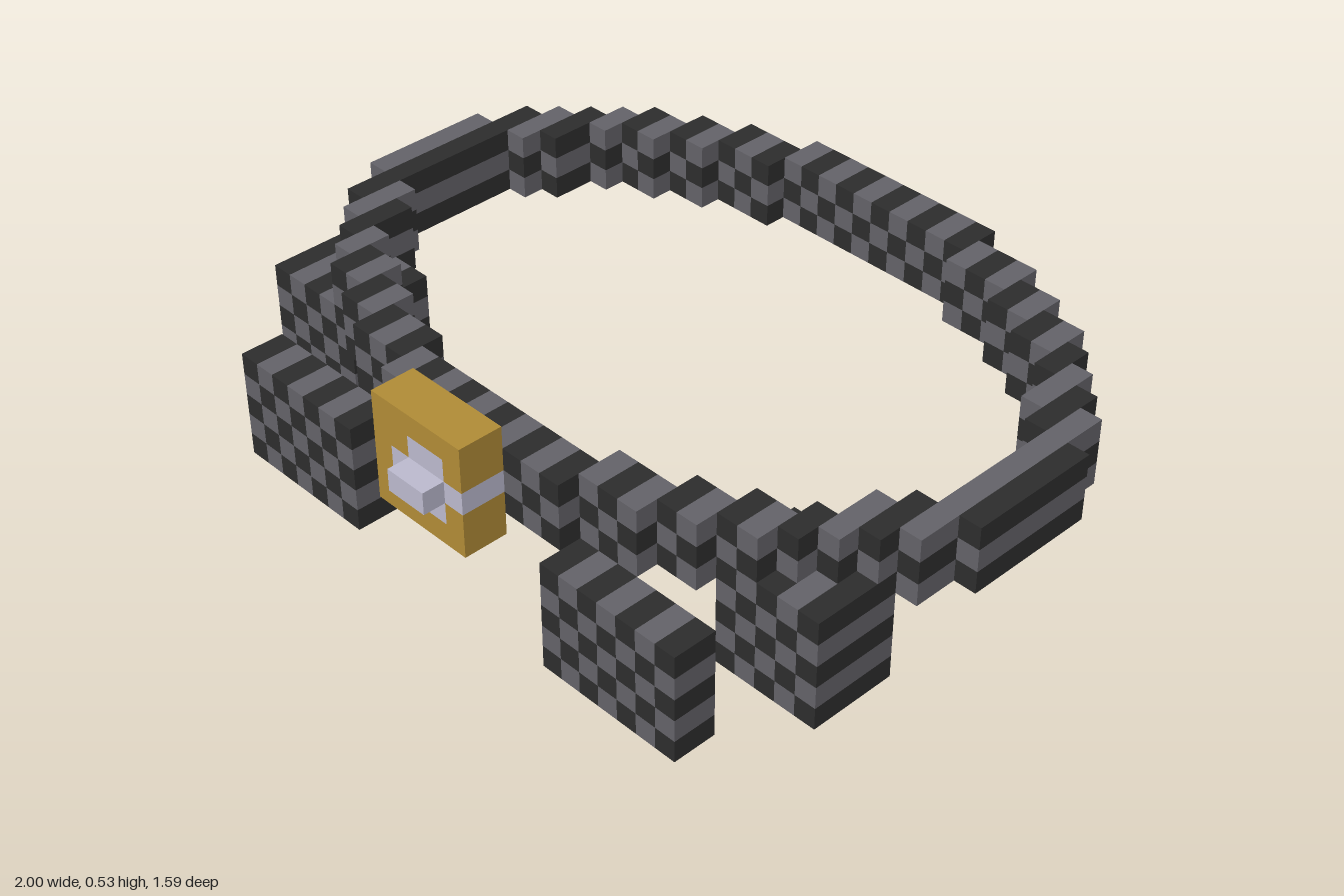
import * as THREE from 'three';
import { mergeGeometries } from 'three/addons/utils/BufferGeometryUtils.js';

const U = 1 / 17; // block size: the belt is 34 blocks wide and 27 deep

const flat = (name, color) => {
  const m = new THREE.MeshStandardMaterial({ color });
  m.name = name;
  return m;
};

export function createModel() {
  const model = new THREE.Group();
  model.name = 'utilityBelt';
  const dark = flat('darkWeave', 0x2d2d2d);
  const grey = flat('greyWeave', 0x636268);
  const gold = flat('gold', 0xb08b36);
  const silver = flat('silver', 0xbbb9cd);

  // The weave is a checkerboard in x and y that runs straight through in z
  const weave = (x, y) => ((x + y) % 2 ? grey : dark);

  // Blocks are given as [x0, x1, y0, y1, z0, z1] in block units
  function addPart(name, blocks, colourAt) {
    const group = new THREE.Group();
    group.name = name;
    const byMaterial = new Map();
    for (const [x0, x1, y0, y1, z0, z1] of blocks) {
      for (let x = x0; x < x1; x++) {
        for (let y = y0; y < y1; y++) {
          const g = new THREE.BoxGeometry(U, U, (z1 - z0) * U);
          g.translate((x + 0.5 - 17) * U, (y + 0.5) * U, ((z0 + z1) / 2 - 13.5) * U);
          const m = colourAt(x, y);
          if (!byMaterial.has(m)) byMaterial.set(m, []);
          byMaterial.get(m).push(g);
        }
      }
    }
    for (const [m, geometries] of byMaterial) {
      const mesh = new THREE.Mesh(mergeGeometries(geometries), m);
      mesh.name = `${name} ${m.name}`;
      group.add(mesh);
    }
    model.add(group);
  }

  // Belt loop: stepped oval, one back-left quarter mirrored in x and z
  const steps = [ // x0, x1, z0, z1
    [1, 2, 7, 12], [2, 3, 6, 9], [3, 4, 5, 8], [4, 5, 4, 6],
    [5, 7, 3, 5], [7, 9, 2, 4], [9, 12, 1, 3], [12, 17, 0, 2], [0, 1, 9, 12],
  ];
  const loop = [];
  for (const [x0, x1, z0, z1] of steps) {
    for (const [a, b] of [[x0, x1], [34 - x1, 34 - x0]]) {
      loop.push([a, b, 5, 8, z0, z1], [a, b, 5, 8, 24 - z1, 24 - z0]);
    }
  }
  addPart('beltLoop', loop, weave);

  // Pouches hanging from the front and the sides
  addPart('frontPouchRight', [[4, 11, 0, 5, 23, 25]], weave);
  addPart('frontPouchLeft', [[22, 29, 0, 5, 23, 25]], weave);
  addPart('sidePouchRight', [[1, 6, 1, 6, 17, 21]], weave);
  addPart('sidePouchLeft', [[27, 32, 1, 6, 17, 21]], weave);

  // Gold buckle with an inlaid silver cross reaching its left edge
  const inCross = (x, y) => (y === 6 && x >= 15) || (y >= 5 && y < 8 && x >= 16 && x < 18);
  addPart('buckle', [[14, 19, 4, 9, 24, 26]], (x, y) => (inCross(x, y) ? silver : gold));
  addPart('buckleStud', [[16, 18, 6, 7, 26, 27]], () => silver);

  return model;
}
